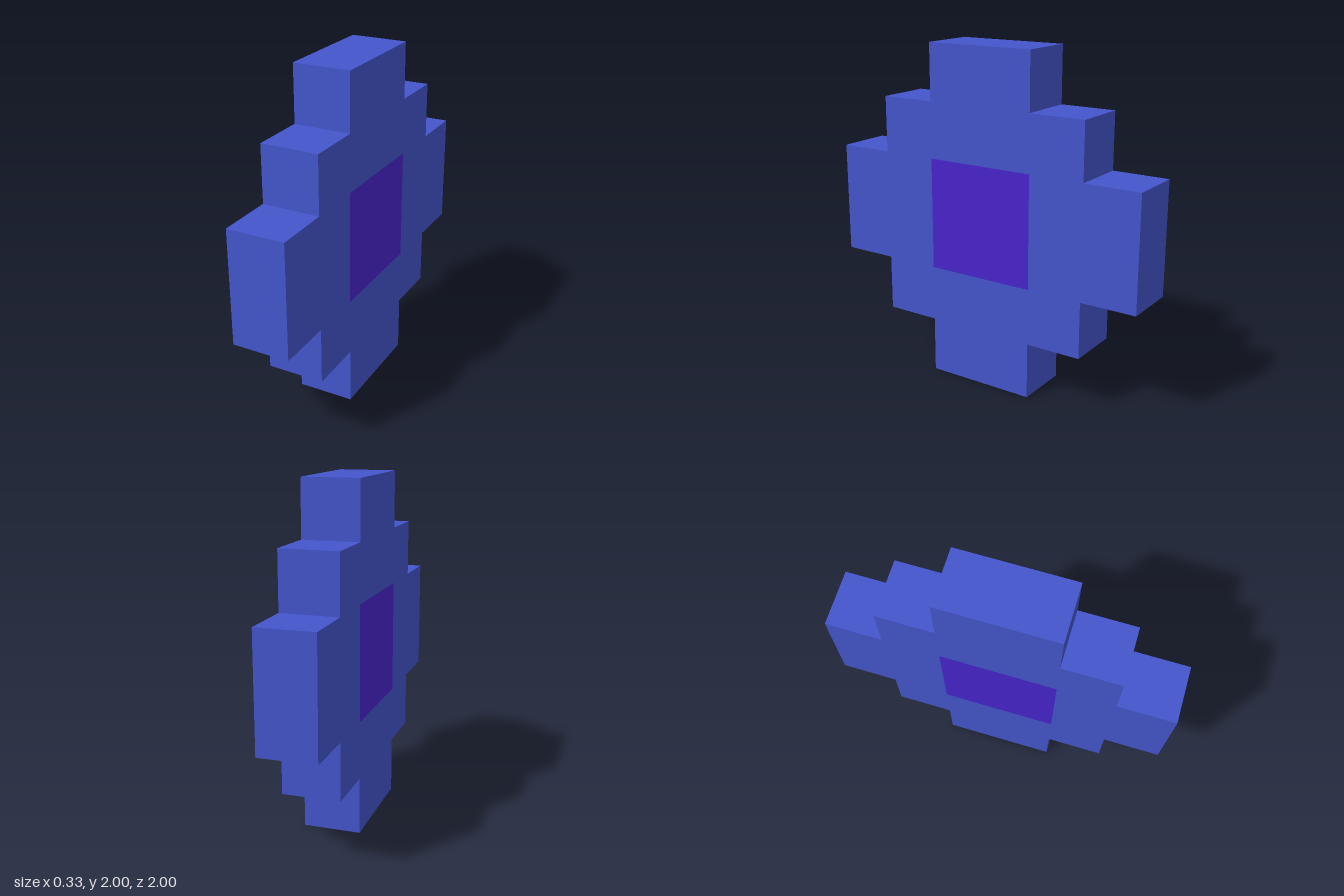
import * as THREE from 'three';

const U = 1 / 3; // one grid step of the stepped outline

export function createModel() {
  const group = new THREE.Group();
  const blue = new THREE.MeshStandardMaterial({ color: 0x4455cc });
  const violet = new THREE.MeshStandardMaterial({ color: 0x4824cc });

  // Stepped outline: one quarter's corners, turned four times
  const quarter = [[3, -1], [3, 1], [2, 1], [2, 2], [1, 2]];
  const outline = [];
  for (let i = 0; i < 4; i++) {
    for (const [x, y] of quarter) {
      outline.push(new THREE.Vector2(x * U, y * U).rotateAround(new THREE.Vector2(), i * Math.PI / 2));
    }
  }
  const shape = new THREE.Shape(outline);

  // Square opening for the centre block
  shape.holes.push(new THREE.Path([[-1, -1], [-1, 1], [1, 1], [1, -1]]
    .map(([x, y]) => new THREE.Vector2(x * U, y * U))));

  const bodyGeometry = new THREE.ExtrudeGeometry(shape, { depth: U, bevelEnabled: false });
  bodyGeometry.translate(0, 0, -U / 2).rotateY(Math.PI / 2);
  const body = new THREE.Mesh(bodyGeometry, blue);
  body.name = 'steppedBody';

  // Centre block, flush with both broad faces
  const centre = new THREE.Mesh(new THREE.BoxGeometry(U, 2 * U, 2 * U), violet);
  centre.name = 'centreBlock';

  body.position.y = centre.position.y = 1;
  group.add(body, centre);
  return group;
}
